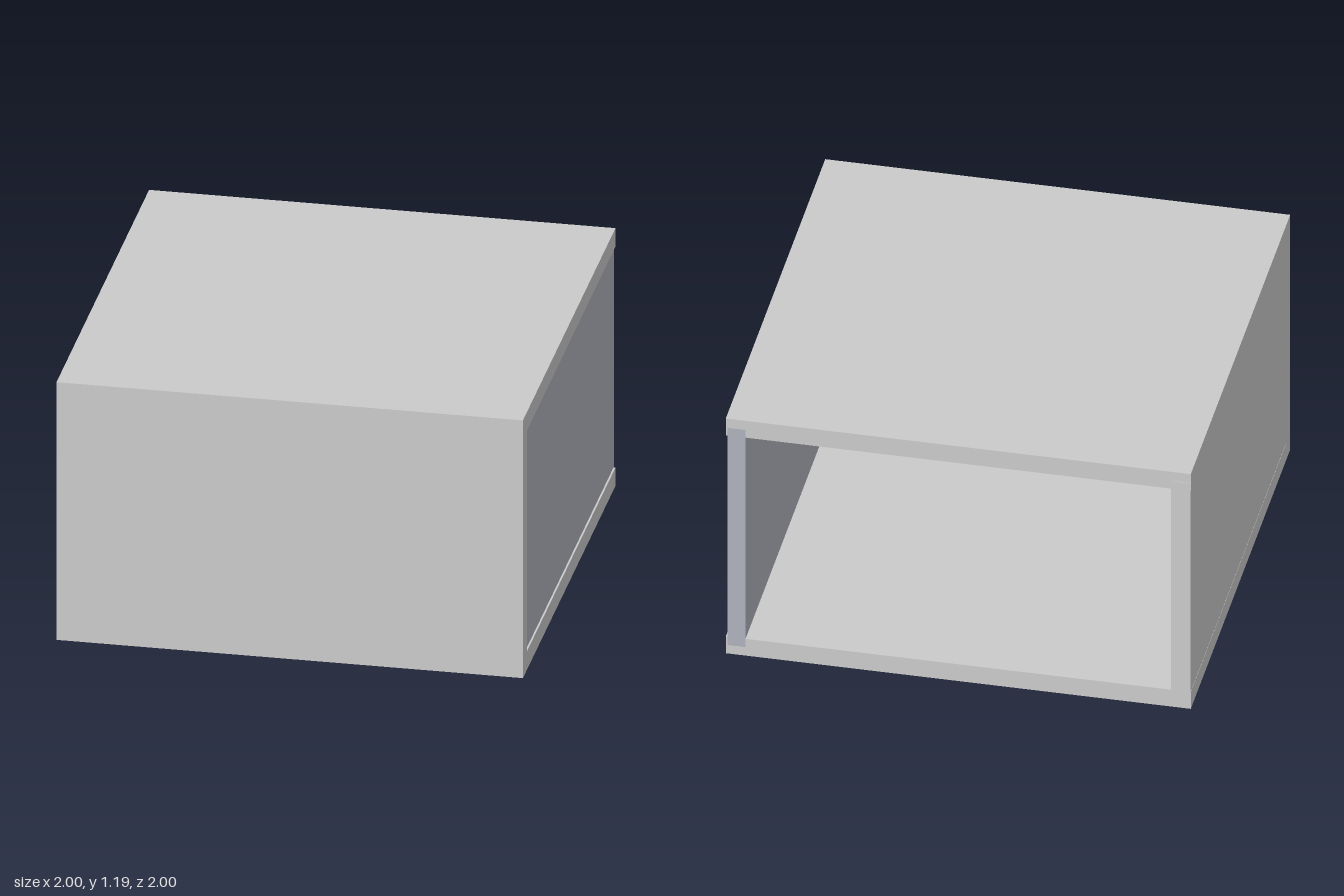
import * as THREE from 'three';

const H = 1.19; // overall height
const T = 0.085; // board thickness
const TONGUE = 0.045; // how far the side boards run into the slabs
const LIP = 0.003; // slabs stop just short of the side boards at the back

export function createModel() {
  const model = new THREE.Group();
  model.name = 'openBox';
  const grey = new THREE.MeshStandardMaterial({ color: 0xcccccc });
  const blueGrey = new THREE.MeshStandardMaterial({ color: 0xb1b3be });

  // Board given by its lower and upper corners
  const board = (name, [x0, y0, z0], [x1, y1, z1], material = grey) => {
    const mesh = new THREE.Mesh(new THREE.BoxGeometry(x1 - x0, y1 - y0, z1 - z0), material);
    mesh.position.set((x0 + x1) / 2, (y0 + y1) / 2, (z0 + z1) / 2);
    mesh.name = name;
    model.add(mesh);
  };

  // Top and bottom slabs
  board('bottomSlab', [-1, 0, -1 + LIP], [1, T, 1]);
  board('topSlab', [-1, H - T, -1 + LIP], [1, H, 1]);

  // Closed front; the back stays open
  board('frontWall', [-1, T, 1 - T], [1, H - T, 1]);

  // Plain wall on one side, slightly recessed tinted panel on the other
  board('rightWall', [-0.999, TONGUE, -1], [-1 + T, H - TONGUE, 1 - T]);
  board('leftPanel', [1 - T, TONGUE, -1], [0.992, H - TONGUE, 1 - T], blueGrey);

  return model;
}
